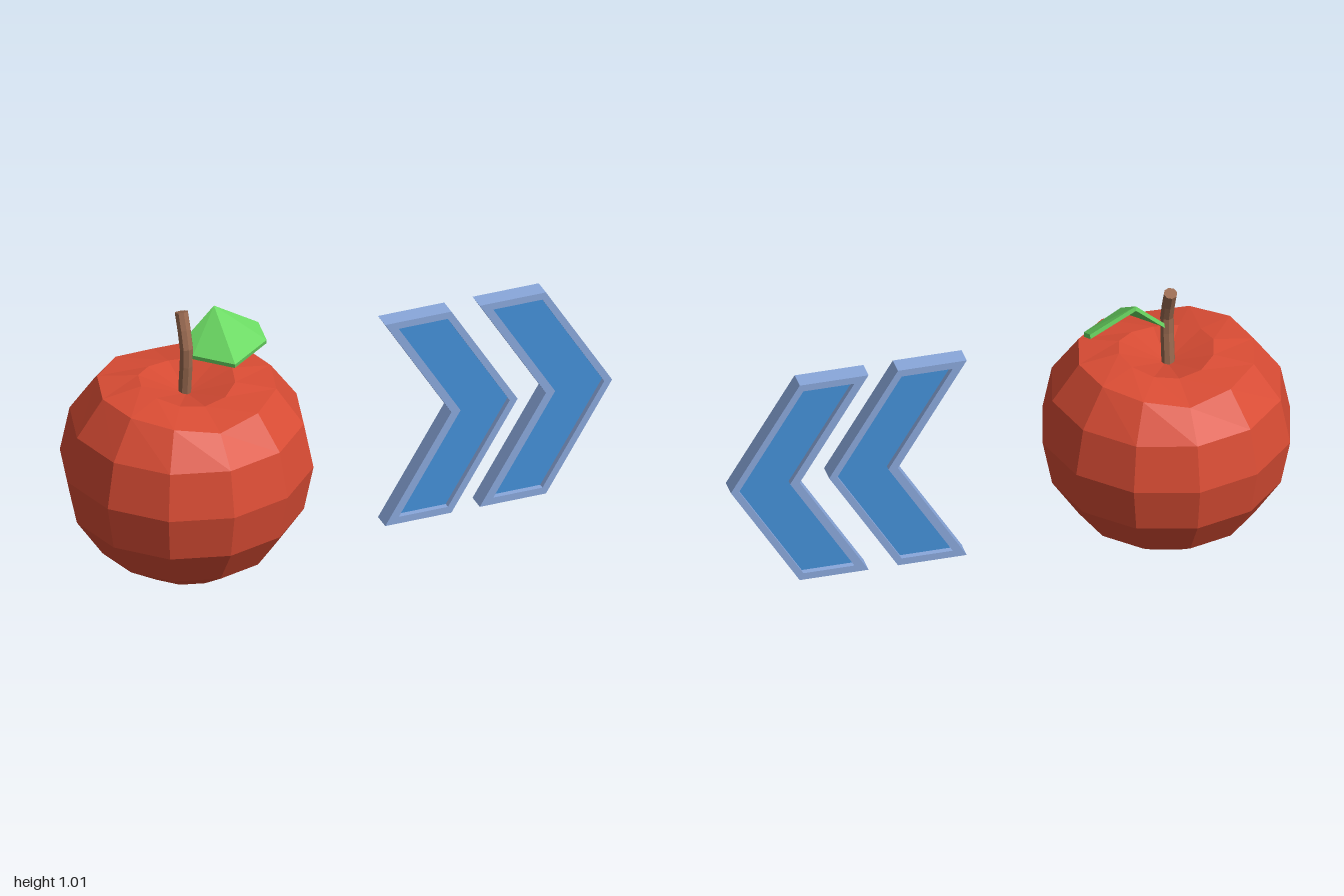
import * as THREE from 'three';

const mat = (name, color, flatShading = true) => {
  const m = new THREE.MeshStandardMaterial({ color, flatShading });
  m.name = name;
  return m;
};

const part = (name, geometry, material) => {
  const mesh = new THREE.Mesh(geometry, material);
  mesh.name = name;
  return mesh;
};

// Low-poly sphere with a dimpled, slightly lumpy crown
function appleGeometry(R) {
  const cols = 12, rows = 8;
  const geo = new THREE.SphereGeometry(R, cols, rows);
  const p = geo.attributes.position;
  for (let i = 0; i < p.count; i++) {
    const row = Math.floor(i / (cols + 1));
    const a = (i % (cols + 1)) / cols * Math.PI * 2;
    if (row === 0) p.setY(i, 0.70 - R);
    if (row === 1) p.setY(i, 0.75 + 0.013 * Math.cos(2 * a) - R);
    if (row === 2) p.setY(i, 0.742 - 0.035 * Math.pow(Math.sin(a), 8) - R);
  }
  geo.computeVertexNormals();
  return geo;
}

// Thick folded leaf: a closed outline with a ridge from its first to its fourth point
function leafGeometry() {
  const top = [
    [-0.435, 0.987, -0.06], [-0.275, 0.892, -0.05], [-0.272, 0.858, 0.02],
    [-0.435, 0.858, 0.135], [-0.545, 0.855, 0.02], [-0.54, 0.892, -0.05],
  ];
  const bottom = top.map(([x, y, z]) => [x, y - 0.016, z - 0.004]);
  const pos = [];
  const tri = (a, b, c) => pos.push(...a, ...b, ...c);
  for (const [a, b, c] of [[0, 3, 2], [0, 2, 1], [0, 4, 3], [0, 5, 4]]) {
    tri(top[a], top[b], top[c]);
    tri(bottom[a], bottom[c], bottom[b]);
  }
  for (let i = 0; i < 6; i++) {
    const j = (i + 1) % 6;
    tri(top[i], top[j], bottom[j]);
    tri(top[i], bottom[j], bottom[i]);
  }
  const geo = new THREE.BufferGeometry();
  geo.setAttribute('position', new THREE.Float32BufferAttribute(pos, 3));
  geo.computeVertexNormals();
  return geo;
}

// Extrude between two z values
function slab(shape, z0, z1) {
  const geo = new THREE.ExtrudeGeometry(shape, { depth: z1 - z0, bevelEnabled: false });
  return geo.translate(0, 0, z0);
}

// Right-pointing arrow band around y = 0.44
function chevronPoints(left, right, halfHeight, reach) {
  return [
    [left, halfHeight], [left + reach, 0], [left, -halfHeight],
    [right, -halfHeight], [right + reach, 0], [right, halfHeight],
  ].map(([x, y]) => new THREE.Vector2(x, y + 0.44));
}

export function createModel() {
  const red = mat('apple red', 0xd94c34);
  const brown = mat('stem brown', 0x98694f);
  const green = mat('leaf green', 0x6ad862);
  const paleBlue = mat('frame blue', 0x8aa8dc);
  const blue = mat('panel blue', 0x4490d8);

  const model = new THREE.Group();
  model.name = 'appleWithArrows';

  // Apple
  const apple = new THREE.Group();
  apple.name = 'apple';
  const body = part('appleBody', appleGeometry(0.44), red);
  body.position.set(-0.56, 0.44, 0);
  apple.add(body);

  // Curved stem with a closed top
  const path = new THREE.CatmullRomCurve3([
    new THREE.Vector3(-0.565, 0.69, -0.008),
    new THREE.Vector3(-0.565, 0.78, 0.002),
    new THREE.Vector3(-0.565, 0.88, 0.01),
    new THREE.Vector3(-0.565, 1.003, -0.037),
  ]);
  apple.add(part('stem', new THREE.TubeGeometry(path, 5, 0.024, 8), brown));
  const cap = part('stemTop', new THREE.CircleGeometry(0.024, 8), brown);
  const end = path.getPoint(1);
  cap.position.copy(end);
  cap.lookAt(end.clone().add(path.getTangent(1)));
  apple.add(cap);

  apple.add(part('leaf', leafGeometry(), green));
  model.add(apple);

  // Two framed arrows with recessed panels
  for (let i = 0; i < 2; i++) {
    const arrow = new THREE.Group();
    arrow.name = i ? 'outerArrow' : 'innerArrow';
    const inner = chevronPoints(0.205, 0.387, 0.374, 0.229);
    const frame = new THREE.Shape(chevronPoints(0.155, 0.40, 0.4, 0.245));
    frame.holes.push(new THREE.Path(inner.slice().reverse()));
    arrow.add(part('arrowFrame', slab(frame, -0.017, 0.05), paleBlue));
    arrow.add(part('arrowPanel', slab(new THREE.Shape(inner), 0.004, 0.029), blue));
    arrow.position.x = i * 0.35;
    model.add(arrow);
  }

  return model;
}
